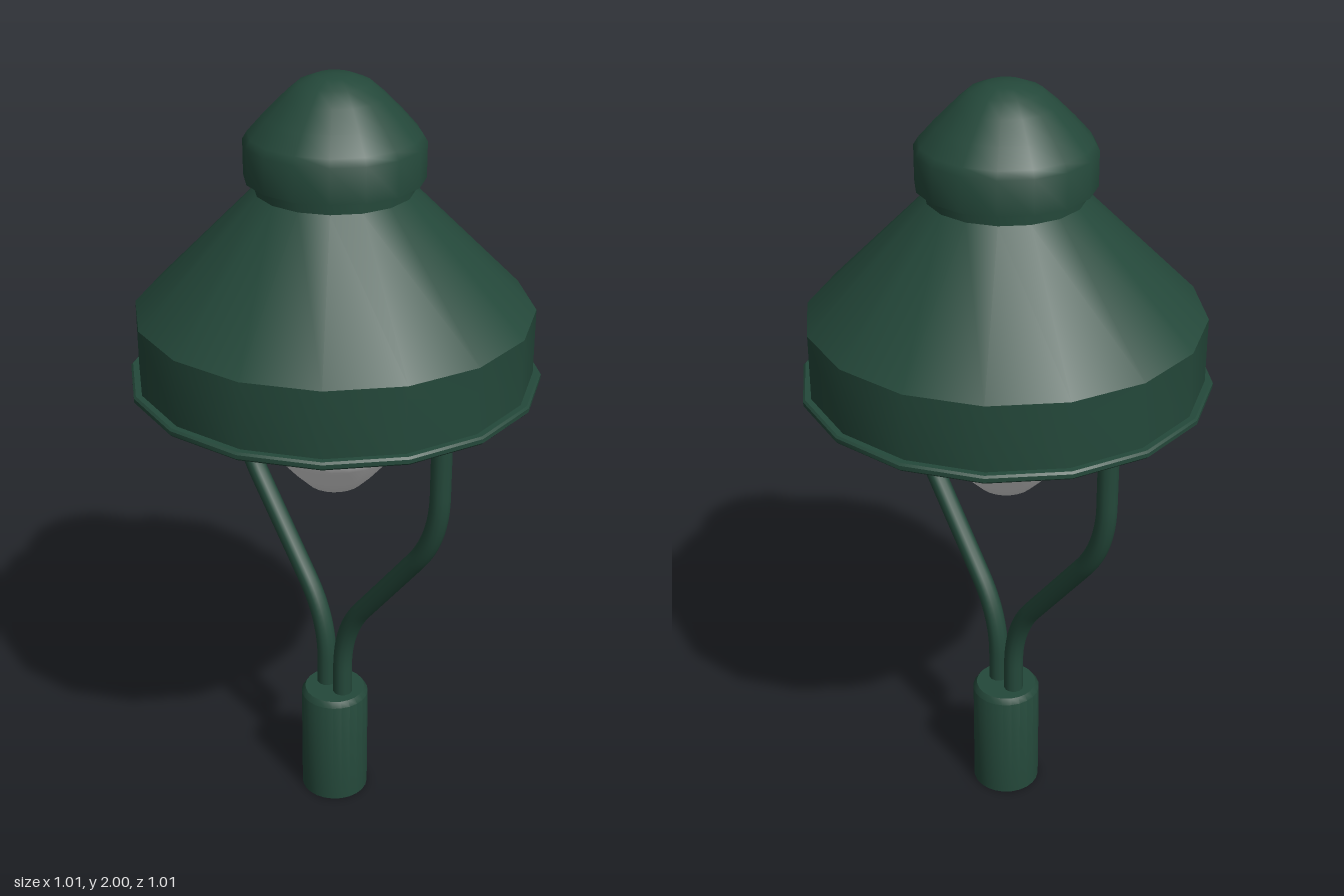
import * as THREE from 'three';
import { toCreasedNormals } from 'three/addons/utils/BufferGeometryUtils.js';

export function createModel() {
  const group = new THREE.Group();
  const green = new THREE.MeshStandardMaterial({ color: 0x24483a });
  green.name = 'dark green paint';
  const white = new THREE.MeshStandardMaterial({ color: 0xe6e6e6 });
  white.name = 'white enamel';

  const add = (name, geometry, material) => {
    const mesh = new THREE.Mesh(geometry, material);
    mesh.name = name;
    group.add(mesh);
    return mesh;
  };
  // Turned part; a profile running upward faces outward, downward faces inward
  const turned = (name, profile, material, sides = 16, crease = 0.6) => {
    const points = profile.map(([r, y]) => new THREE.Vector2(r, y));
    return add(name, toCreasedNormals(new THREE.LatheGeometry(points, sides), crease), material);
  };

  // Post socket
  turned('postSocket', [[0, 0], [0.09, 0], [0.09, 0.305], [0.08, 0.32], [0, 0.32]], green, 24);

  // Shade: outer shell with rolled lip and neck, then white lining
  turned('shade', [
    [0.476, 1.25], [0.5, 1.25], [0.505, 1.255], [0.505, 1.265], [0.5, 1.27], [0.485, 1.27],
    [0.485, 1.435], [0.19, 1.73], [0.19, 1.84], [0, 1.84],
  ], green);
  turned('shadeLining', [[0, 1.72], [0.188, 1.72], [0.476, 1.43], [0.476, 1.25]], white);

  // Domed cap with white lining
  turned('cap', [
    [0.208, 1.76], [0.214, 1.76], [0.214, 1.845], [0.203, 1.863], [0.165, 1.905],
    [0.12, 1.95], [0.085, 1.98], [0.045, 1.996], [0, 2],
  ], green, 16, 0.8);
  turned('capLining', [[0, 1.842], [0.208, 1.842], [0.208, 1.76]], white);

  // Lamp glass
  turned('lampGlass', [
    [0, 0.94], [0.035, 0.943], [0.072, 0.959], [0.105, 0.992], [0.165, 1.062],
    [0.187, 1.092], [0.194, 1.12], [0.194, 1.66], [0, 1.66],
  ], white, 24, 0.8);

  // Forked arms, straight runs joined by rounded bends
  const corners = [[0.032, 0.28], [0.032, 0.52], [0.376, 0.944], [0.376, 1.49], [0.19, 1.675]];
  const bends = [0, 0.12, 0.12, 0.05, 0];
  for (const side of [1, -1]) {
    const p = corners.map(([x, y]) => new THREE.Vector3(x * side, y, 0));
    const path = new THREE.CurvePath();
    let from = p[0];
    for (let i = 1; i < p.length - 1; i++) {
      const start = p[i].clone().add(p[i - 1].clone().sub(p[i]).setLength(bends[i]));
      const end = p[i].clone().add(p[i + 1].clone().sub(p[i]).setLength(bends[i]));
      path.add(new THREE.LineCurve3(from, start));
      path.add(new THREE.QuadraticBezierCurve3(start, p[i], end));
      from = end;
    }
    path.add(new THREE.LineCurve3(from, p[p.length - 1]));
    add(side > 0 ? 'leftArm' : 'rightArm', new THREE.TubeGeometry(path, 96, 0.026, 12), green);

    // Short pin fixing the arm to the shade wall
    const pin = add(side > 0 ? 'leftPin' : 'rightPin', new THREE.CylinderGeometry(0.014, 0.014, 0.1, 10), green);
    pin.rotation.z = Math.PI / 2;
    pin.position.set(0.428 * side, 1.34, 0);
  }
  return group;
}
